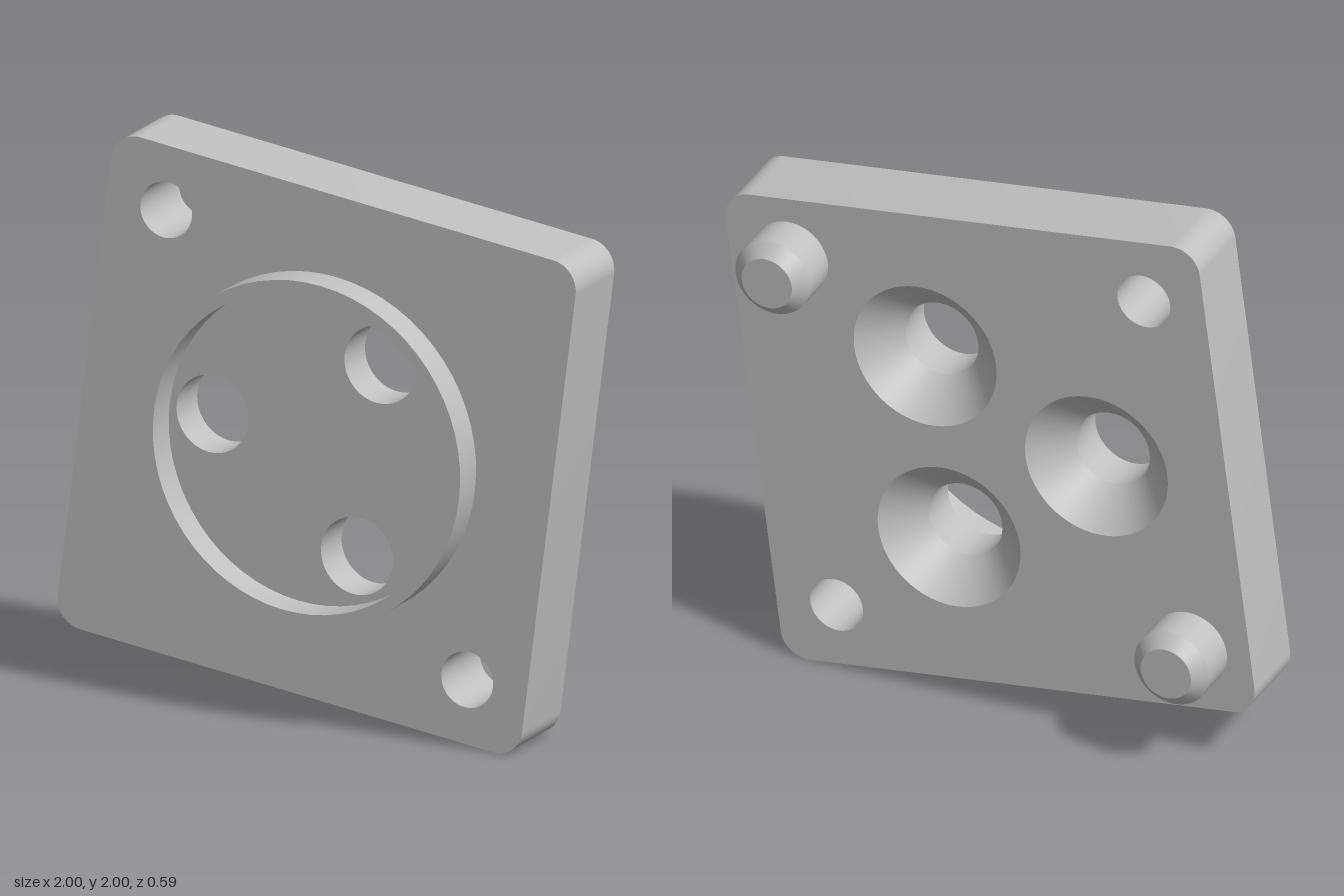
import * as THREE from 'three';
import { mergeGeometries, toCreasedNormals } from 'three/addons/utils/BufferGeometryUtils.js';

const SEG = 64;
const HALF = 0.903, CORNER = 0.1;          // plate half side and corner radius
const FRONT = 0.177, BACK = -0.104;        // plate faces
const TILT = THREE.MathUtils.degToRad(-7.4);

const polar = (r, deg) => {
  const a = THREE.MathUtils.degToRad(deg);
  return [r * Math.cos(a), r * Math.sin(a)];
};

const screwHoles = [60, 180, 300].map((d) => polar(0.405, d));
const cornerHoles = [135, 315].map((d) => polar(0.952, d));
const pinSpots = [45, 225].map((d) => polar(0.952, d));

// Turned surface around z from [radius, z] points, with a sharp edge at each point.
// Rising z faces outward, falling z faces inward.
function turned(profile) {
  const bands = [];
  for (let i = 0; i < profile.length - 1; i++) {
    const pts = [profile[i], profile[i + 1]].map(([r, z]) => new THREE.Vector2(r, z));
    bands.push(new THREE.LatheGeometry(pts, SEG));
  }
  return mergeGeometries(bands).rotateX(Math.PI / 2);
}

// Rounded square outline with round holes.
function plateShape(screwRadius) {
  const s = new THREE.Shape();
  const c = HALF - CORNER;
  [[c, c], [-c, c], [-c, -c], [c, -c]].forEach(([x, y], i) => {
    s.absarc(x, y, CORNER, i * Math.PI / 2, (i + 1) * Math.PI / 2, false);
  });
  s.closePath();
  const cut = (r) => ([x, y]) => {
    const h = new THREE.Path();
    h.absarc(x, y, r, 0, Math.PI * 2, true);
    s.holes.push(h);
  };
  screwHoles.forEach(cut(screwRadius));
  cornerHoles.forEach(cut(0.1));
  return s;
}

export function createModel() {
  const root = new THREE.Group();
  root.name = 'flangePlate';
  const metal = new THREE.MeshStandardMaterial({ color: 0xc0c0c0 });
  metal.name = 'light grey metal';

  const body = new THREE.Group();
  body.name = 'body';
  body.rotation.z = TILT;
  body.position.y = 1;
  root.add(body);

  const add = (name, geometry, [x, y] = [0, 0]) => {
    const mesh = new THREE.Mesh(geometry, metal);
    mesh.name = name;
    mesh.position.set(x, y, 0);
    body.add(mesh);
  };

  // Plate faces: small screw holes in front, wide countersinks behind
  add('plateFront', new THREE.ShapeGeometry(plateShape(0.139), SEG / 2).translate(0, 0, FRONT));
  const back = new THREE.ShapeGeometry(plateShape(0.27), SEG / 2).translate(0, 0, BACK);
  back.index.array.reverse();
  back.computeVertexNormals();
  add('plateBack', back);

  // Plate rim: only the side walls of the extruded outline
  const outline = plateShape(0.1);
  outline.holes = [];
  const solid = new THREE.ExtrudeGeometry(outline, {
    depth: FRONT - BACK, bevelEnabled: false, curveSegments: SEG / 2,
  }).translate(0, 0, BACK);
  const { start, count } = solid.groups[1];
  const rim = new THREE.BufferGeometry();
  rim.setAttribute('position', new THREE.BufferAttribute(
    solid.attributes.position.array.slice(start * 3, (start + count) * 3), 3));
  add('plateRim', toCreasedNormals(rim, 0.5));

  // Bores
  const screwBore = turned([[0.139, FRONT], [0.139, BACK + 0.131], [0.27, BACK]]);
  screwHoles.forEach((p) => add('countersunkBore', screwBore, p));
  const cornerBore = turned([[0.1, FRONT], [0.1, BACK]]);
  cornerHoles.forEach((p) => add('cornerBore', cornerBore, p));

  // Raised thin ring on the front
  add('frontRing', turned([[0.615, FRONT], [0.615, 0.293], [0.571, 0.293], [0.571, FRONT]]));

  // Chamfered locating pins on the back
  const pin = turned([[0, -0.293], [0.095, -0.293], [0.141, -0.247], [0.141, BACK]]);
  pinSpots.forEach((p) => add('locatingPin', pin, p));

  return root;
}
